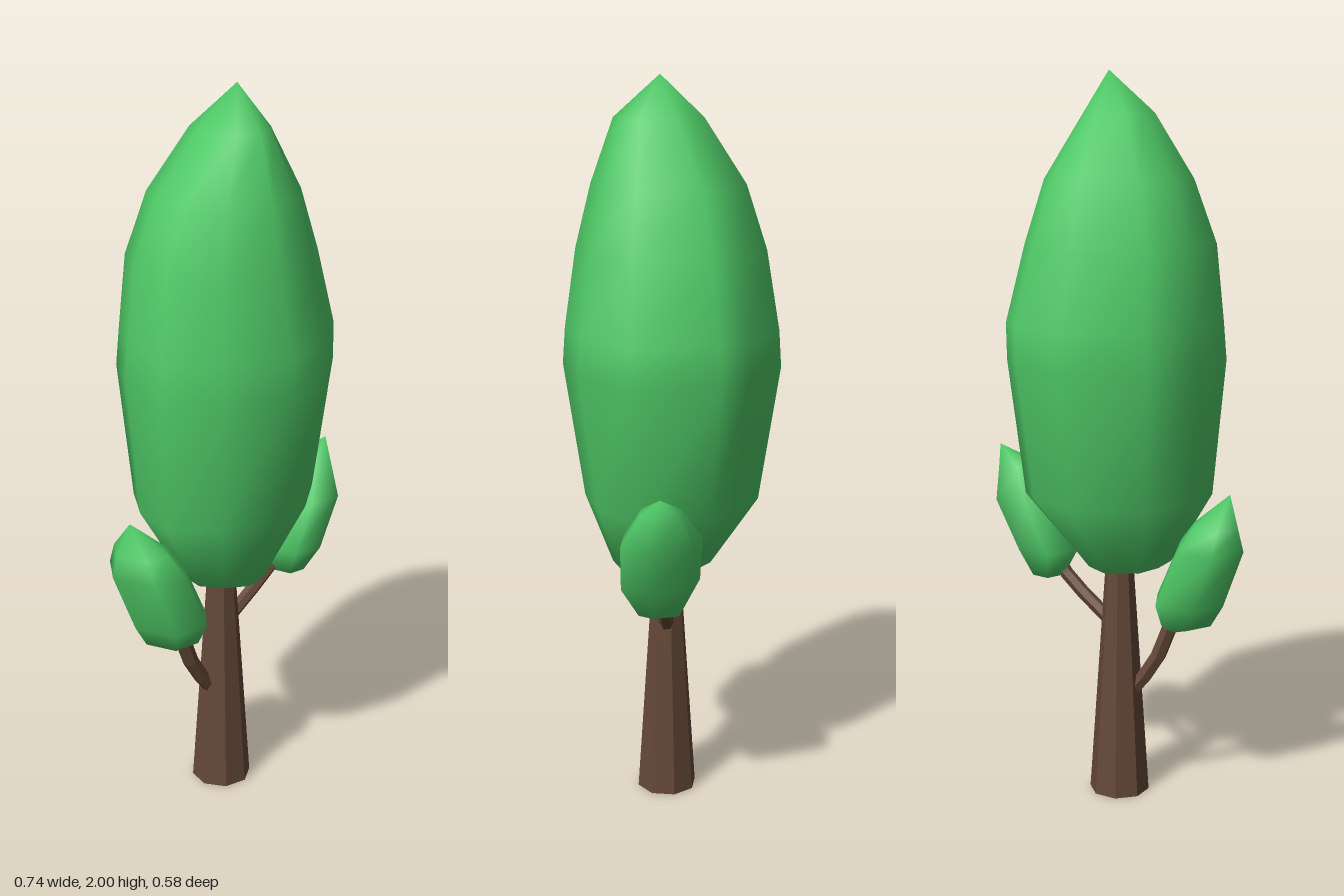
import * as THREE from 'three';

const leafGreen = new THREE.MeshStandardMaterial({ color: 0x50cc68 });
const barkBrown = new THREE.MeshStandardMaterial({ color: 0x644838, flatShading: true, side: THREE.DoubleSide });

// Irregular cross-sections as unit x, z pairs
const crownOutline = [[1, 0.45], [0.5, 0.86], [-0.1, 1], [-0.62, 0.72], [-1, 0.3], [-0.9, -0.3], [-0.6, -0.8], [0.17, -1], [0.7, -0.65], [0.9, -0.38]];
const tuftOutline = [[1, 0.35], [0.45, 1], [-0.55, 0.9], [-1, -0.2], [-0.35, -1], [0.7, -0.75]];

// Closed smooth blob: rings are [y, xMin, xMax, zMin, zMax], ends are [x, y, z]
function foliage(name, outline, bottom, rings, top) {
  const n = outline.length;
  const positions = [];
  const index = [];
  for (const [y, x0, x1, z0, z1] of rings) {
    for (const [u, v] of outline) {
      positions.push((x0 + x1) / 2 + u * (x1 - x0) / 2, y, (z0 + z1) / 2 + v * (z1 - z0) / 2);
    }
  }
  const low = rings.length * n;
  positions.push(...bottom, ...top);
  for (let j = 0; j < n; j++) {
    const k = (j + 1) % n;
    index.push(low, j, k);
    for (let i = 0; i < rings.length - 1; i++) {
      const a = i * n + j, b = i * n + k;
      index.push(a, a + n, b, b, a + n, b + n);
    }
    index.push(low - n + j, low + 1, low - n + k);
  }
  const geometry = new THREE.BufferGeometry();
  geometry.setAttribute('position', new THREE.Float32BufferAttribute(positions, 3));
  geometry.setIndex(index);
  geometry.computeVertexNormals();
  const mesh = new THREE.Mesh(geometry, leafGreen);
  mesh.name = name;
  return mesh;
}

function branch(name, points, radius) {
  const curve = new THREE.CatmullRomCurve3(points.map(p => new THREE.Vector3(...p)));
  const mesh = new THREE.Mesh(new THREE.TubeGeometry(curve, 4, radius, 6), barkBrown);
  mesh.name = name;
  return mesh;
}

export function createModel() {
  const tree = new THREE.Group();
  tree.name = 'tree';

  // Tapered trunk, open underneath
  const trunk = new THREE.Mesh(new THREE.CylinderGeometry(0.034, 0.084, 0.74, 8, 1, true), barkBrown);
  trunk.name = 'trunk';
  trunk.position.set(-0.007, 0.37, 0.012);
  trunk.rotation.y = 0.2;
  tree.add(trunk);

  // Side branches
  tree.add(branch('rightBranch', [[-0.03, 0.28, 0.01], [-0.11, 0.385, 0.01], [-0.145, 0.47, 0.01], [-0.18, 0.56, 0.01]], 0.022));
  tree.add(branch('leftBranch', [[0, 0.48, 0.01], [0.08, 0.545, 0.02], [0.15, 0.605, 0.03], [0.2, 0.67, 0.04]], 0.019));

  // Main crown
  tree.add(foliage('crown', crownOutline, [0, 0.64, 0.02], [
    [0.67, -0.14, 0.09, -0.11, 0.16],
    [0.87, -0.255, 0.255, -0.235, 0.235],
    [1.24, -0.285, 0.3, -0.29, 0.29],
    [1.34, -0.277, 0.303, -0.283, 0.283],
    [1.55, -0.257, 0.248, -0.25, 0.252],
    [1.72, -0.195, 0.195, -0.195, 0.21],
    [1.89, -0.085, 0.095, -0.085, 0.15],
  ], [0.03, 2, 0.03]));

  // Small side tufts
  tree.add(foliage('rightTuft', tuftOutline, [-0.16, 0.48, 0.01], [
    [0.515, -0.275, -0.125, -0.06, 0.09],
    [0.575, -0.31, -0.105, -0.085, 0.12],
    [0.74, -0.37, -0.175, -0.11, 0.115],
    [0.8, -0.355, -0.22, -0.085, 0.075],
  ], [-0.325, 0.89, 0]));
  tree.add(foliage('leftTuft', tuftOutline, [0.21, 0.598, 0.04], [
    [0.61, 0.165, 0.26, -0.02, 0.1],
    [0.69, 0.12, 0.3, -0.067, 0.147],
    [0.83, 0.18, 0.368, -0.068, 0.15],
    [0.92, 0.25, 0.367, -0.01, 0.1],
  ], [0.365, 0.97, 0.05]));

  return tree;
}
